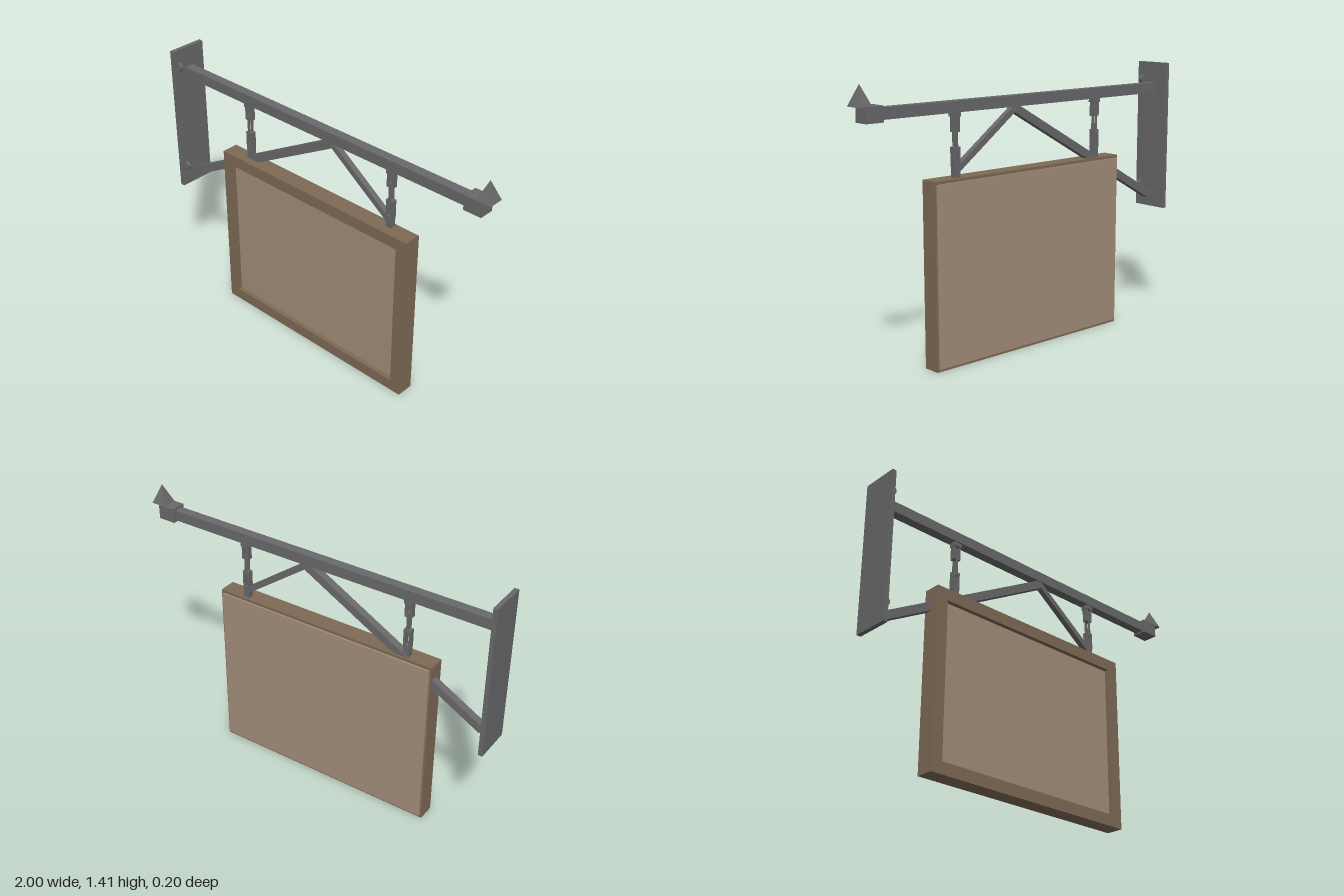
import * as THREE from 'three';

const metal = new THREE.MeshStandardMaterial({ color: 0x69696b });
metal.name = 'iron grey';
const frameWood = new THREE.MeshStandardMaterial({ color: 0x7e6a56 });
frameWood.name = 'dark wood';
const panelWood = new THREE.MeshStandardMaterial({ color: 0xa48e79 });
panelWood.name = 'light wood';

function add(parent, name, geometry, material) {
  const mesh = new THREE.Mesh(geometry, material);
  mesh.name = name;
  parent.add(mesh);
  return mesh;
}

// Box given by its min and max corners
function box(parent, name, [x0, y0, z0], [x1, y1, z1], material = metal) {
  const mesh = add(parent, name, new THREE.BoxGeometry(x1 - x0, y1 - y0, z1 - z0), material);
  mesh.position.set((x0 + x1) / 2, (y0 + y1) / 2, (z0 + z1) / 2);
  return mesh;
}

// Square bar between two points in the xy plane
function bar(parent, name, [x0, y0], [x1, y1], height, depth) {
  const length = Math.hypot(x1 - x0, y1 - y0);
  const mesh = add(parent, name, new THREE.BoxGeometry(length, height, depth), metal);
  mesh.position.set((x0 + x1) / 2, (y0 + y1) / 2, 0);
  mesh.rotation.z = Math.atan2(y1 - y0, x1 - x0);
}

// Rectangular ring centred on the origin
function ringGeometry(width, height, border, depth) {
  const rect = (path, w, h) => path.moveTo(-w, -h).lineTo(w, -h).lineTo(w, h).lineTo(-w, h).closePath();
  const shape = rect(new THREE.Shape(), width / 2, height / 2);
  shape.holes.push(rect(new THREE.Path(), width / 2 - border, height / 2 - border));
  return new THREE.ExtrudeGeometry(shape, { depth, bevelEnabled: false }).translate(0, 0, -depth / 2);
}

function createChain(x) {
  const chain = new THREE.Group();
  chain.name = 'chain';
  chain.position.x = x;
  box(chain, 'topBracket', [-0.022, 1.228, -0.02], [0.022, 1.252, 0.02]);
  // Front-facing links joined by one turned sideways
  add(chain, 'upperLink', ringGeometry(0.038, 0.085, 0.01, 0.03), metal).position.y = 1.198;
  const middle = add(chain, 'middleLink', ringGeometry(0.03, 0.115, 0.008, 0.012), metal);
  middle.position.y = 1.123;
  middle.rotation.y = Math.PI / 2;
  add(chain, 'lowerLink', ringGeometry(0.038, 0.095, 0.01, 0.03), metal).position.y = 1.037;
  box(chain, 'bottomPeg', [-0.016, 0.93, -0.016], [0.016, 0.99, 0.016]);
  return chain;
}

export function createModel() {
  const model = new THREE.Group();
  model.name = 'hangingSign';

  // Wall plate with bolts
  box(model, 'wallPlate', [-1, 0.61, -0.1], [-0.977, 1.415, 0.1]);
  for (const y of [0.727, 1.32]) {
    const bolt = add(model, 'bolt', new THREE.CylinderGeometry(0.023, 0.023, 0.02, 10), metal);
    bolt.rotation.x = Math.PI / 2;
    bolt.position.set(-0.976, y, 0.068);
  }

  // Beam, end cap and pyramid finial
  box(model, 'beam', [-0.98, 1.25, -0.026], [0.87, 1.305, 0.024]);
  box(model, 'endCap', [0.86, 1.24, -0.04], [0.956, 1.316, 0.04]);
  const spike = new THREE.ConeGeometry(0.04 * Math.SQRT2, 0.1, 4).rotateY(Math.PI / 4).toNonIndexed();
  spike.computeVertexNormals();
  add(model, 'finial', spike, metal).position.set(0.96, 1.365, 0);

  // Diagonal braces
  bar(model, 'longBrace', [-0.946, 0.685], [0.06, 1.245], 0.042, 0.04);
  bar(model, 'shortBrace', [0.045, 1.248], [0.418, 0.977], 0.03, 0.03);

  for (const x of [-0.52, 0.425]) model.add(createChain(x));

  // Signboard: frame, recessed front panel, back board
  const sign = new THREE.Group();
  sign.name = 'signboard';
  model.add(sign);
  add(sign, 'frame', ringGeometry(1.246, 0.936, 0.062, 0.092), frameWood).position.set(-0.047, 0.468, 0.016);
  box(sign, 'frontPanel', [-0.612, 0.06, -0.025], [0.518, 0.876, 0.038], panelWood);
  box(sign, 'backBoard', [-0.66, 0.015, -0.039], [0.565, 0.921, -0.028], panelWood);
  return model;
}
